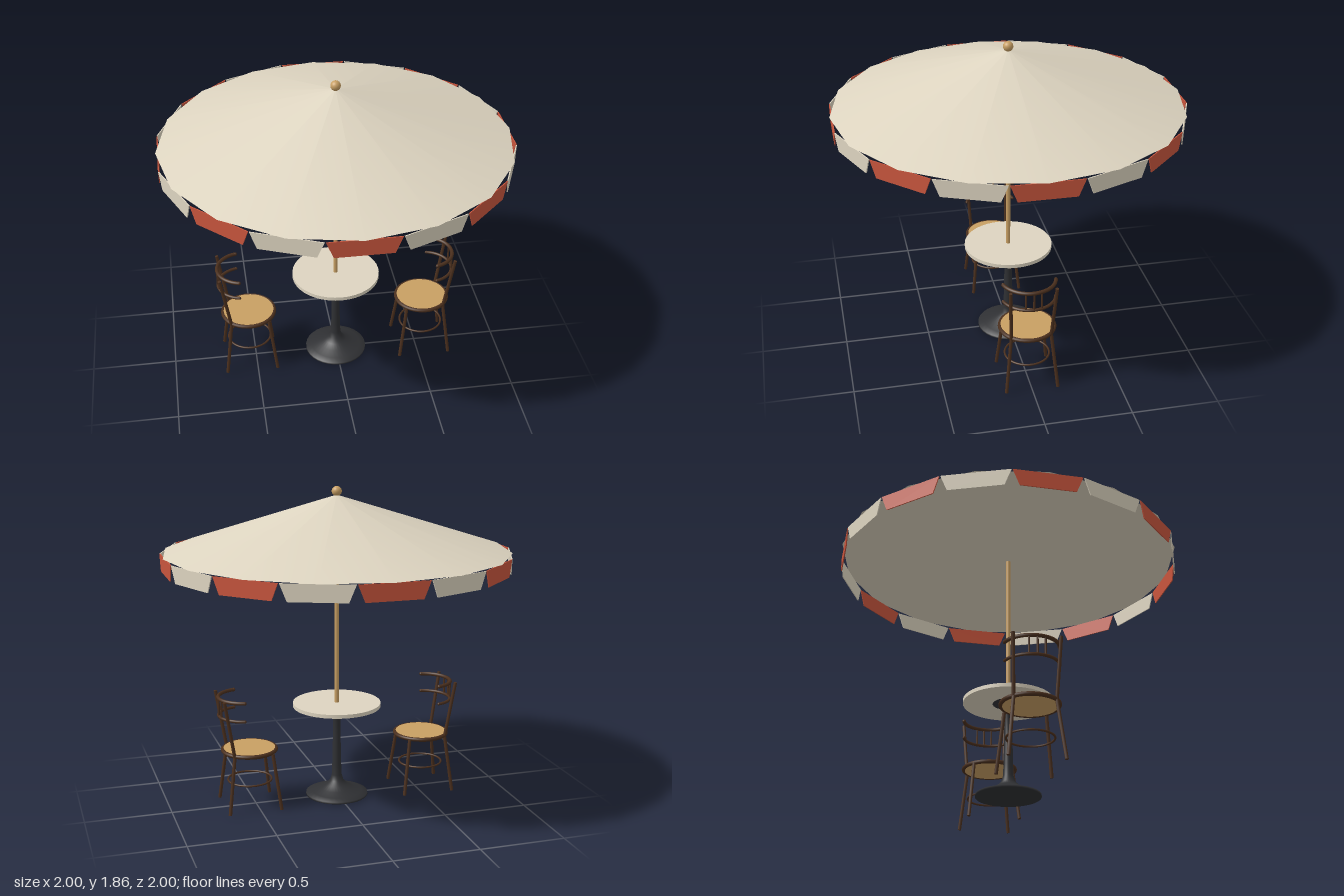
import * as THREE from 'three';

const material = (name, color) => {
  const m = new THREE.MeshStandardMaterial({ color });
  m.name = name;
  return m;
};

export function createModel() {
  const cream = material('cream', 0xddd4c0);
  const red = material('brick red', 0xc8553d);
  const wood = material('light wood', 0xc89f63);
  const darkWood = material('dark wood', 0x4a2f1d);
  const iron = material('iron', 0x2f3033);

  const model = new THREE.Group();
  model.name = 'parasolTableSet';

  const add = (parent, name, geometry, mat, x = 0, y = 0, z = 0) => {
    const mesh = new THREE.Mesh(geometry, mat);
    mesh.name = name;
    mesh.position.set(x, y, z);
    parent.add(mesh);
    return mesh;
  };

  // Straight round bar between two points
  const bar = (parent, name, a, b, radius, mat) => {
    const start = new THREE.Vector3(...a), end = new THREE.Vector3(...b);
    const dir = end.clone().sub(start);
    const mesh = add(parent, name, new THREE.CylinderGeometry(radius, radius, dir.length(), 10), mat);
    mesh.position.copy(start).add(end).multiplyScalar(0.5);
    mesh.quaternion.setFromUnitVectors(new THREE.Vector3(0, 1, 0), dir.normalize());
  };

  // Parasol: canopy, pole and finial
  add(model, 'canopy', new THREE.ConeGeometry(1, 0.32, 16), cream, 0, 1.65, 0);
  add(model, 'pole', new THREE.CylinderGeometry(0.013, 0.013, 1.24, 16), wood, 0, 1.18, 0);
  add(model, 'finial', new THREE.SphereGeometry(0.029, 20, 14), wood, 0, 1.83, 0);

  // Valance: sixteen tapered flaps in alternating colours
  const flap = new THREE.Shape([
    new THREE.Vector2(-0.155, 1.395), new THREE.Vector2(0.155, 1.395),
    new THREE.Vector2(0.193, 1.489), new THREE.Vector2(-0.193, 1.489),
  ]);
  const flapGeometry = new THREE.ExtrudeGeometry(flap, { depth: 0.006, bevelEnabled: false });
  flapGeometry.translate(0, 0, 0.983);
  for (let i = 0; i < 16; i++) {
    add(model, 'valanceFlap', flapGeometry, i % 2 ? cream : red).rotation.y = i * Math.PI / 8;
  }

  // Table: round top on a turned iron pedestal
  add(model, 'tableTop', new THREE.CylinderGeometry(0.26, 0.26, 0.022, 40), cream, 0, 0.572, 0);
  const pedestal = [
    [0, 0.008], [0.185, 0.008], [0.185, 0.02], [0.15, 0.032], [0.105, 0.05], [0.065, 0.07],
    [0.04, 0.095], [0.03, 0.13], [0.027, 0.2], [0.023, 0.38], [0.023, 0.535],
    [0.05, 0.542], [0.09, 0.561],
  ].map(([r, y]) => new THREE.Vector2(r, y));
  add(model, 'tablePedestal', new THREE.LatheGeometry(pedestal, 32), iron);

  // Curved back rail, open towards +x
  class RailCurve extends THREE.Curve {
    getPoint(t, target = new THREE.Vector3()) {
      const a = Math.PI + (t - 0.5) * 2.7;
      return target.set(-0.022 + 0.153 * Math.cos(a), 0, 0.153 * Math.sin(a));
    }
  }
  const railEnd = new RailCurve();

  // Chair facing +x
  const createChair = () => {
    const chair = new THREE.Group();
    chair.name = 'chair';
    add(chair, 'seat', new THREE.CylinderGeometry(0.155, 0.155, 0.02, 32), wood, 0, 0.346, 0);
    add(chair, 'seatRim', new THREE.TorusGeometry(0.155, 0.012, 10, 40), darkWood, 0, 0.345, 0).rotation.x = Math.PI / 2;
    add(chair, 'footRing', new THREE.TorusGeometry(0.128, 0.006, 8, 40), darkWood, 0, 0.16, 0).rotation.x = Math.PI / 2;

    for (const side of [-1, 1]) {
      for (const end of [-1, 1]) {
        bar(chair, 'leg', [end * 0.153, 0.004, side * 0.15], [end * 0.112, 0.34, side * 0.115], 0.01, darkWood);
      }
      bar(chair, 'backPost', [-0.112, 0.34, side * 0.115], [-0.168, 0.678, side * 0.13], 0.01, darkWood);
    }

    // Bent rails with rounded ends, joined by spindles
    for (const [y, r] of [[0.668, 0.011], [0.56, 0.009]]) {
      add(chair, 'backRail', new THREE.TubeGeometry(railEnd, 28, r, 8), darkWood, 0, y, 0);
      for (const t of [0, 1]) {
        const p = railEnd.getPoint(t);
        add(chair, 'railEnd', new THREE.SphereGeometry(r, 8, 6), darkWood, p.x, y, p.z);
      }
    }
    for (const t of [-1, 0, 1]) {
      const p = railEnd.getPoint(0.5 + t * 0.11);
      bar(chair, 'spindle', [p.x, 0.56, p.z], [p.x, 0.668, p.z], 0.006, darkWood);
    }
    return chair;
  };

  // Two chairs facing each other across the table
  for (const side of [-1, 1]) {
    const chair = createChair();
    chair.position.x = side * 0.534;
    chair.rotation.y = side > 0 ? Math.PI : 0;
    model.add(chair);
  }

  return model;
}
